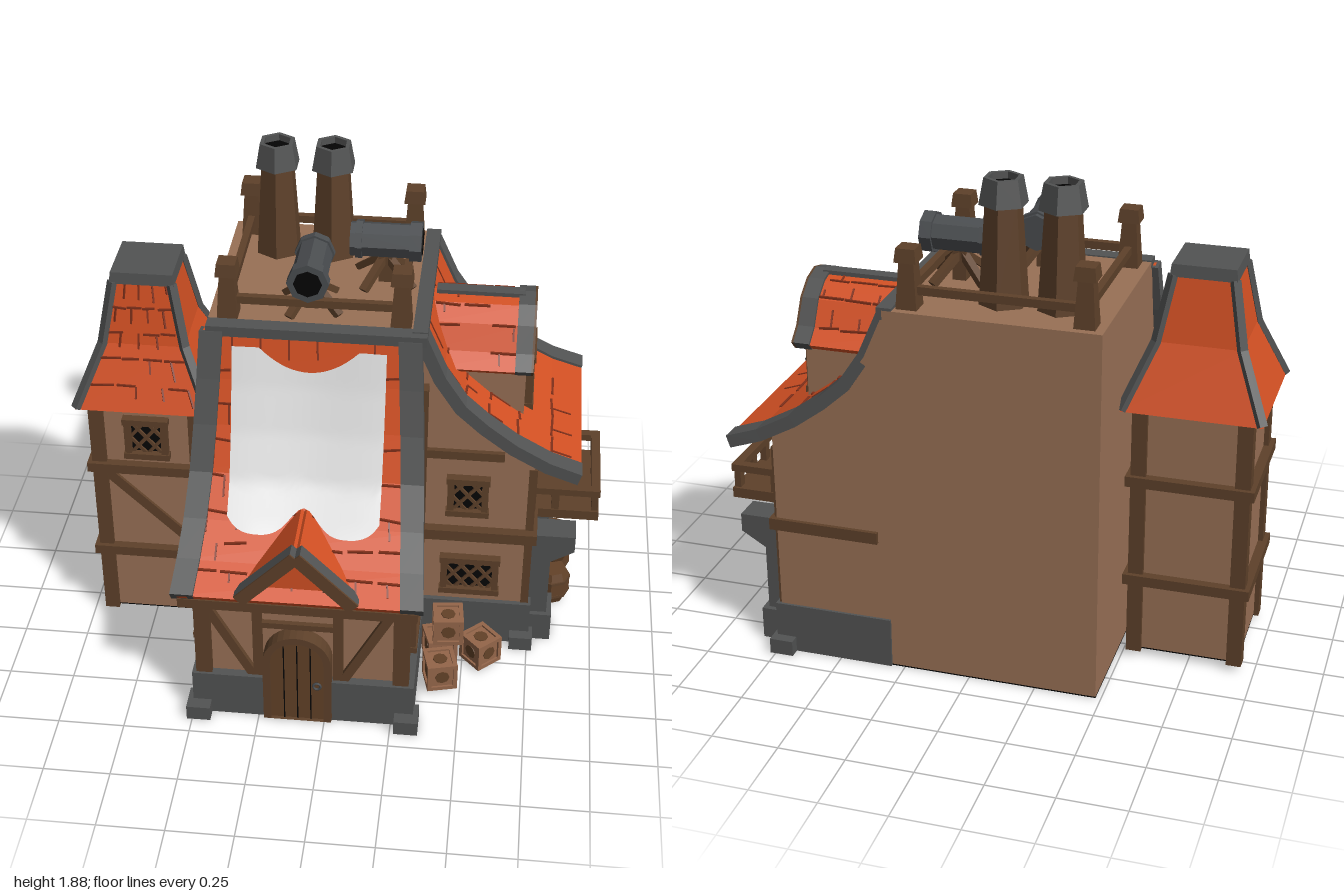
import * as THREE from 'three';
import { mergeGeometries } from 'three/addons/utils/BufferGeometryUtils.js';

const mat = (name, color, side = THREE.FrontSide) => Object.assign(new THREE.MeshStandardMaterial({ color, side }), { name });
const plaster = mat('plaster', 0x997156), wood = mat('timber', 0x5e412a), tile = mat('roof tile', 0xd35023);
const gap = mat('tile gap', 0x80301a), stone = mat('stone', 0x525353), dark = mat('dark opening', 0x040404);
const cloth = mat('cloth', 0xe6e6e6, THREE.DoubleSide), crateWood = mat('crate wood', 0x94664a);
const oak = mat('oak', 0x634228), iron = mat('iron', 0x4a4d50);

const V = (x, y, z) => new THREE.Vector3(x, y, z);
const X = V(1, 0, 0), Y = V(0, 1, 0), NZ = V(0, 0, -1);
let seed = 7;
const rnd = () => (seed = (seed * 16807) % 2147483647) / 2147483647;

function flat(geo) {
  const g = geo.index ? geo.toNonIndexed() : geo;
  g.computeVertexNormals();
  return g;
}
function add(parent, name, geo, material) {
  const m = new THREE.Mesh(geo, material);
  m.name = name;
  parent.add(m);
  return m;
}
function group(parent, name, x = 0, y = 0, z = 0, ry = 0) {
  const g = new THREE.Group();
  g.name = name; g.position.set(x, y, z); g.rotation.y = ry;
  parent.add(g);
  return g;
}
// Box given by its limits
const box = (p, name, m, x0, x1, y0, y1, z0, z1) =>
  add(p, name, new THREE.BoxGeometry(x1 - x0, y1 - y0, z1 - z0).translate((x0 + x1) / 2, (y0 + y1) / 2, (z0 + z1) / 2), m);
const cyl = (p, name, m, rt, rb, y0, y1, n, x = 0, z = 0, turn = 0) =>
  add(p, name, flat(new THREE.CylinderGeometry(rt, rb, y1 - y0, n).rotateY(turn).translate(x, (y0 + y1) / 2, z)), m);
const tangent = (pts, i) => pts[Math.min(i + 1, pts.length - 1)].clone().sub(pts[Math.max(i - 1, 0)]).normalize();

// Rectangular section carried along points; width may change from w0 to w1
function sweep(pts, side, w0, h, w1 = w0) {
  const pos = [], idx = [], last = pts.length - 1;
  pts.forEach((p, i) => {
    const n = tangent(pts, i).cross(side).normalize(), w = w0 + (w1 - w0) * i / last;
    for (const [a, b] of [[-1, -1], [1, -1], [1, 1], [-1, 1]])
      pos.push(...p.clone().addScaledVector(side, a * w / 2).addScaledVector(n, b * h / 2).toArray());
    if (i < last) for (let k = 0; k < 4; k++) {
      const a = i * 4 + k, b = i * 4 + (k + 1) % 4;
      idx.push(a, b, b + 4, a, b + 4, a + 4);
    }
  });
  const e = last * 4;
  idx.push(0, 2, 1, 0, 3, 2, e, e + 1, e + 2, e, e + 2, e + 3);
  const g = new THREE.BufferGeometry();
  g.setAttribute('position', new THREE.Float32BufferAttribute(pos, 3));
  g.setIndex(idx);
  return flat(g);
}
function bar(a, b, w, h) {
  const s = b.clone().sub(a).cross(Y);
  return sweep([a, b], s.length() < 1e-5 ? X : s.normalize(), w, h);
}
// Point on the outer face of a swept roof
const surface = (pts, side, w0, w1, off) => (u, v) => {
  const f = Math.min(v, 0.9999) * (pts.length - 1), i = Math.floor(f);
  const t = pts[i + 1].clone().sub(pts[i]).normalize();
  return pts[i].clone().lerp(pts[i + 1], f - i).addScaledVector(side, (u - 0.5) * (w0 + (w1 - w0) * v))
    .addScaledVector(t.cross(side), off);
};
// Uneven joints between the tiles
function tileGaps(p, s, rows, cols) {
  const parts = [];
  for (let r = 0; r < rows; r++) for (let c = 0; c < cols; c++) {
    const v = r / rows, u = c / cols, j = rnd() * 0.015;
    if (r && rnd() > 0.15) parts.push(bar(s(u, v + j), s(u + (0.7 + rnd() * 0.3) / cols, v + rnd() * 0.015), 0.009, 0.008));
    const q = u + (r % 2 ? 0.3 : 0.75) / cols;
    if (rnd() > 0.45) parts.push(bar(s(q, v + 0.01), s(q + 0.004, v + (0.4 + rnd() * 0.4) / rows), 0.007, 0.006));
  }
  add(p, 'tileGaps', mergeGeometries(parts), gap);
}
function extrude(points, depth) {
  const s = new THREE.Shape(points.map(([a, b]) => new THREE.Vector2(a, b)));
  return new THREE.ExtrudeGeometry(s, { depth, bevelEnabled: false });
}
// Side profile (z, y) extruded along x from x0 to x1
const extrudeX = (points, x0, x1) => extrude(points, x1 - x0).rotateY(-Math.PI / 2).translate(x1, 0, 0);

// Framed window with a diamond lattice
function latticeWindow(p, x, y, z, w, h, ry = 0) {
  const g = group(p, 'window', x, y, z, ry), t = 0.025, a = w / 2, b = h / 2, bars = [];
  box(g, 'pane', dark, -a, a, -b, b, 0, 0.008);
  for (const s of [-1, 1]) {
    box(g, 'frameSide', wood, s * a - t / 2, s * a + t / 2, -b, b, 0, 0.03);
    box(g, 'frameRail', wood, -a - t * 0.7, a + t * 0.7, s * b - t / 2, s * b + t / 2, 0, 0.035);
    for (let c = -0.225; c <= 0.23; c += 0.075) {
      const m = 1.2, xa = Math.max(-a, (-b - c) / m), xb = Math.min(a, (b - c) / m);
      if (xb - xa > 0.01) bars.push(bar(V(s * xa, m * xa + c, 0.012), V(s * xb, m * xb + c, 0.012), 0.01, 0.012));
    }
  }
  add(g, 'lattice', mergeGeometries(bars), wood);
}

export function createModel() {
  const root = new THREE.Group();
  root.name = 'house';
  box(root, 'core', plaster, -0.48, 0.3, 0.005, 1.42, -0.64, 0.1);
  box(root, 'coreUnderside', dark, -0.48, 0.3, 0, 0.005, -0.64, 0.1);

  // Front wing: walls, sweeping roof, stone verges
  const front = group(root, 'frontWing');
  const fp = [[0.13, 1.4], [0.17, 1.22], [0.22, 1.05], [0.29, 0.88], [0.4, 0.74], [0.52, 0.64], [0.64, 0.565]];
  add(front, 'walls', extrudeX([[0.05, 0.01], [0.6, 0.01], [0.6, 0.585], ...fp.slice(0, 6).reverse(), [0.05, 1.4]], -0.48, 0.3), plaster);
  const fpts = fp.map(([z, y]) => V(-0.1, y, z));
  add(front, 'roof', sweep(fpts, X, 0.78, 0.026, 0.88), tile);
  tileGaps(front, surface(fpts, X, 0.72, 0.82, 0.013), 8, 7);
  for (const s of [-1, 1])
    add(front, 'verge', sweep(fpts.map((p, i) => V(-0.1 + s * (0.36 + 0.06 * i / 6), p.y, p.z)), X, 0.085, 0.052), stone);
  box(front, 'ridge', stone, -0.48, 0.32, 1.385, 1.425, 0.09, 0.15);

  // Cloth laid over the front roof
  const zAt = y => {
    const i = Math.min(5, Math.max(0, fp.findIndex(q => q[1] <= y) - 1)), [a, b] = [fp[i], fp[i + 1]];
    return a[0] + (b[0] - a[0]) * (a[1] - y) / (a[1] - b[1]);
  };
  const sheet = new THREE.PlaneGeometry(1, 1, 28, 24), sp = sheet.attributes.position;
  for (let i = 0; i < sp.count; i++) {
    const u = sp.getX(i), v = sp.getY(i) + 0.5, e = Math.abs(2 * u);
    const lo = 0.73 + 0.08 * Math.exp(-((u / 0.12) ** 2)) + 0.05 * e ** 8, hi = 1.37 - 0.09 * Math.max(0, 1 - (e / 0.65) ** 2);
    const y = lo + (hi - lo) * v;
    sp.setXYZ(i, -0.1 + u * 0.56, y, zAt(y) + 0.045 - 0.006 * Math.cos(u * 6.28));
  }
  sheet.computeVertexNormals();
  add(front, 'cloth', sheet, cloth);

  // Small gable above the door
  const gable = group(front, 'doorGable', -0.1);
  add(gable, 'gableWall', extrude([[-0.19, 0.57], [0.19, 0.57], [0, 0.77]], 0.25).translate(0, 0, 0.35), tile);
  for (const s of [-1, 1]) {
    const slope = z => [V(0, 0.79, z), V(s * 0.21, 0.575, z)];
    add(gable, 'gableRoof', sweep(slope(0.46), NZ, 0.28, 0.03), tile);
    add(gable, 'gableVerge', sweep(slope(0.622), NZ, 0.055, 0.05), stone);
    add(gable, 'gableBoard', sweep(slope(0.653), NZ, 0.008, 0.05), wood);
  }

  // Front base and timber frame
  box(front, 'foundation', stone, -0.5, 0.335, 0, 0.19, 0.1, 0.635);
  for (const x of [-0.475, 0.31]) box(front, 'cornerStone', stone, x - 0.045, x + 0.045, 0, 0.06, 0.58, 0.685);
  box(front, 'eaveBeam', wood, -0.54, 0.34, 0.51, 0.55, 0.58, 0.635);
  for (const x of [-0.455, 0.285]) box(front, 'cornerPost', wood, x - 0.03, x + 0.03, 0.19, 0.52, 0.57, 0.625);
  for (const s of [-1, 1]) {
    box(front, 'doorPost', wood, -0.1 + s * 0.15 - 0.018, -0.1 + s * 0.15 + 0.018, 0.19, 0.51, 0.59, 0.62);
    add(front, 'brace', bar(V(-0.1 + s * 0.34, 0.51, 0.605), V(-0.1 + s * 0.17, 0.19, 0.605), 0.03, 0.035), wood);
    const sx = s > 0 ? 0.31 : -0.49;
    box(front, 'sideBeam', wood, sx - 0.02, sx + 0.02, 0.51, 0.555, 0.1, 0.62);
    box(front, 'sidePost', wood, sx - 0.02, sx + 0.02, 0.19, s > 0 ? 1.2 : 0.52, 0.1, 0.15);
    latticeWindow(front, s > 0 ? 0.3 : -0.48, 0.335, 0.385, 0.2, 0.15, s * Math.PI / 2);
  }
  box(front, 'lintel', wood, -0.25, 0.05, 0.425, 0.45, 0.59, 0.62);

  // Arched door
  const door = group(front, 'door', -0.1, 0.01, 0);
  const arch = (r, h) => {
    const s = new THREE.Shape();
    s.moveTo(-r, 0); s.lineTo(r, 0); s.lineTo(r, h);
    s.absarc(0, h, r, 0, Math.PI, false);
    return s;
  };
  const surround = arch(0.128, 0.28);
  surround.holes.push(arch(0.1, 0.28));
  const thick = (s, d, z) => new THREE.ExtrudeGeometry(s, { depth: d, bevelEnabled: false, curveSegments: 8 }).translate(0, 0, z);
  add(door, 'doorFrame', thick(surround, 0.08, 0.58), wood);
  add(door, 'doorLeaf', thick(arch(0.105, 0.28), 0.05, 0.595), oak);
  for (const x of [-0.05, 0, 0.05]) box(door, 'plankGap', dark, x - 0.002, x + 0.002, 0, 0.36, 0.644, 0.649);
  add(door, 'knob', new THREE.TorusGeometry(0.014, 0.005, 6, 10).translate(0.075, 0.175, 0.655), iron);

  // Right wing: walls, sweeping roof, stone verges
  const right = group(root, 'sideWing');
  const rp = [[0.3, 1.4], [0.37, 1.24], [0.45, 1.12], [0.54, 1.04], [0.65, 0.96], [0.78, 0.89], [0.9, 0.85]];
  add(right, 'walls', extrude([[0.25, 0.01], [0.735, 0.01], [0.735, 0.91], ...rp.slice(0, 5).reverse(), [0.25, 1.4]], 0.74).translate(0, 0, -0.64), plaster);
  const rpts = rp.map(([x, y]) => V(x, y, -0.25));
  add(right, 'roof', sweep(rpts, NZ, 0.74, 0.028, 0.8), tile);
  tileGaps(right, surface(rpts, NZ, 0.66, 0.7, 0.014), 6, 5);
  for (const s of [-1, 1])
    add(right, 'verge', sweep(rpts.map((p, i) => V(p.x, p.y, -0.25 + s * (0.345 + 0.025 * i / 6))), NZ, 0.08, 0.048), stone);
  box(right, 'ridge', stone, 0.265, 0.32, 1.385, 1.43, -0.64, 0.12);
  box(right, 'foundation', stone, 0.3, 0.755, 0, 0.195, -0.65, 0.12);
  for (const z of [0.115, -0.64]) box(right, 'cornerStone', stone, 0.68, 0.77, 0, 0.06, z - 0.05, z + 0.05);
  box(right, 'frontBeam', wood, 0.3, 0.76, 0.51, 0.555, 0.09, 0.14);
  box(right, 'upperBeam', wood, 0.3, 0.62, 0.88, 0.915, 0.09, 0.12);
  box(right, 'backBeam', wood, 0.34, 0.76, 0.51, 0.555, -0.655, -0.63);
  box(right, 'sideBeam', wood, 0.71, 0.76, 0.51, 0.555, -0.65, 0.14);
  for (const z of [0.085, -0.615]) box(right, 'cornerPost', wood, 0.715, 0.745, 0.19, 0.84, z - 0.02, z + 0.02);
  latticeWindow(right, 0.49, 0.71, 0.1, 0.13, 0.15);
  latticeWindow(right, 0.51, 0.33, 0.1, 0.2, 0.15);

  // Balcony and its stone piers
  const balcony = group(right, 'balcony');
  box(balcony, 'doorway', dark, 0.732, 0.74, 0.555, 0.79, -0.43, -0.07);
  box(balcony, 'doorLintel', wood, 0.72, 0.755, 0.785, 0.82, -0.47, -0.03);
  for (const z of [-0.05, -0.45]) box(balcony, 'doorJamb', wood, 0.72, 0.75, 0.55, 0.8, z - 0.02, z + 0.02);
  box(balcony, 'floor', wood, 0.74, 0.995, 0.51, 0.55, -0.455, -0.045);
  box(balcony, 'frontRail', wood, 0.96, 0.995, 0.62, 0.648, -0.455, -0.045);
  for (let i = 0; i < 4; i++) box(balcony, 'baluster', wood, 0.965, 0.99, 0.55, 0.62, -0.445 + i * 0.1183, -0.41 + i * 0.1183);
  for (const z of [-0.0625, -0.4375]) {
    box(balcony, 'sideRail', wood, 0.73, 0.96, 0.62, 0.648, z - 0.0175, z + 0.0175);
    box(balcony, 'baluster', wood, 0.81, 0.84, 0.55, 0.62, z - 0.013, z + 0.013);
  }
  for (const z of [0.02, -0.52]) {
    box(balcony, 'pier', stone, 0.72, 0.82, 0, 0.42, z - 0.05, z + 0.05);
    box(balcony, 'pierFoot', stone, 0.72, 0.84, 0, 0.125, z - 0.07, z + 0.07);
    add(balcony, 'pierBracket', extrude([[0.72, 0.36], [0.82, 0.385], [0.91, 0.44], [0.91, 0.51], [0.72, 0.51]], 0.11).translate(0, 0, z - 0.055), stone);
  }

  // Dormer with a bell-shaped roof
  const dormer = group(right, 'dormer');
  const dp = [[-0.225, 1.18], [-0.17, 1.23], [-0.12, 1.32], [-0.06, 1.365], [0, 1.38], [0.06, 1.365], [0.12, 1.32], [0.17, 1.23], [0.225, 1.18]];
  const bell = x => dp.map(([z, y]) => V(x, y, z - 0.255));
  add(dormer, 'dormerWalls', extrudeX([[-0.42, 0.88], [-0.09, 0.88], [-0.09, 1.22], [-0.135, 1.31], [-0.255, 1.37], [-0.375, 1.31], [-0.42, 1.22]], 0.3, 0.68), plaster);
  add(dormer, 'dormerRoof', sweep(bell(0.49), X, 0.34, 0.025), tile);
  tileGaps(dormer, surface(bell(0.49), X, 0.32, 0.32, 0.0125), 8, 3);
  add(dormer, 'dormerVerge', sweep(bell(0.667), X, 0.06, 0.045), stone);
  add(dormer, 'dormerBoard', sweep(bell(0.701), X, 0.008, 0.045), wood);
  box(dormer, 'dormerRidge', stone, 0.33, 0.66, 1.375, 1.402, -0.28, -0.23);
  latticeWindow(dormer, 0.68, 1.06, -0.255, 0.18, 0.21, Math.PI / 2);

  // Left turret
  const turret = group(root, 'turret', -0.735, 0, -0.11);
  box(turret, 'turretWalls', plaster, -0.2, 0.2, 0.035, 1.05, -0.2, 0.2);
  box(turret, 'turretUnderside', dark, -0.2, 0.2, 0.03, 0.035, -0.2, 0.2);
  for (const x of [-0.19, 0.19]) for (const z of [-0.19, 0.19])
    box(turret, 'turretPost', wood, x - 0.028, x + 0.028, 0.025, 1.04, z - 0.028, z + 0.028);
  for (const y of [0.335, 0.737]) for (const s of [-1, 1]) {
    box(turret, 'turretBeam', wood, -0.235, 0.235, y - 0.02, y + 0.02, s * 0.215 - 0.02, s * 0.215 + 0.02);
    box(turret, 'turretBeam', wood, s * 0.215 - 0.02, s * 0.215 + 0.02, y - 0.02, y + 0.02, -0.235, 0.235);
  }
  add(turret, 'turretBrace', bar(V(-0.17, 0.71, 0.2), V(0.17, 0.37, 0.2), 0.025, 0.04), wood);
  latticeWindow(turret, 0, 0.88, 0.2, 0.14, 0.155);
  const q = Math.SQRT2;
  cyl(turret, 'lowerRoof', tile, 0.155 * q, 0.255 * q, 1.02, 1.26, 4, 0, 0, Math.PI / 4);
  cyl(turret, 'upperRoof', tile, 0.11 * q, 0.155 * q, 1.26, 1.5, 4, 0, 0, Math.PI / 4);
  cyl(turret, 'turretCap', stone, 0.115 * q, 0.12 * q, 1.495, 1.54, 4, 0, 0, Math.PI / 4);
  for (const a of [-1, 1]) for (const b of [-1, 1])
    add(turret, 'hip', sweep([[0.252, 1.025], [0.154, 1.26], [0.11, 1.5]].map(([r, y]) => V(a * r, y, b * r)), V(b, 0, -a).normalize(), 0.032, 0.022), stone);
  tileGaps(turret, (u, v) => {
    const r = v < 0.5 ? 0.11 + 0.09 * v : 0.155 + 0.2 * (v - 0.5);
    return V((u - 0.5) * 1.8 * r, 1.5 - 0.48 * v, r);
  }, 5, 4);

  // Roof deck: railing and chimneys
  const deck = group(root, 'roofDeck');
  for (const x of [-0.41, 0.22]) {
    for (const z of [0.045, -0.575]) {
      cyl(deck, 'railPost', wood, 0.026 * q, 0.038 * q, 1.42, 1.6, 4, x, z, Math.PI / 4);
      cyl(deck, 'railPostCap', wood, 0.034 * q, 0.04 * q, 1.59, 1.64, 4, x, z, Math.PI / 4);
    }
    box(deck, 'rail', wood, x - 0.013, x + 0.013, 1.47, 1.5, -0.575, 0.045);
  }
  for (const z of [0.045, -0.575]) box(deck, 'rail', wood, -0.41, 0.22, 1.47, 1.5, z - 0.013, z + 0.013);
  for (const x of [-0.29, -0.08]) {
    cyl(deck, 'chimney', wood, 0.066, 0.09, 1.42, 1.79, 6, x, -0.445);
    const cap = [[0.054, 1.8], [0.088, 1.78], [0.07, 1.875], [0.054, 1.875], [0.054, 1.8]].map(([r, y]) => new THREE.Vector2(r, y));
    add(deck, 'chimneyCap', flat(new THREE.LatheGeometry(cap, 6).translate(x, 0, -0.445)), stone);
    cyl(deck, 'chimneyFlue', dark, 0.055, 0.055, 1.79, 1.85, 6, x, -0.445);
  }

  // Two cannons on splayed stands
  for (const [x, z, ry] of [[-0.115, -0.045, 0], [0.135, -0.26, Math.PI / 2]]) {
    const g = group(deck, 'cannon', x, 1.585, z, ry);
    const tube = (name, m, r, z0, z1) => add(g, name, flat(new THREE.CylinderGeometry(r, r, z1 - z0, 8).rotateX(Math.PI / 2).translate(0, 0, (z0 + z1) / 2)), m);
    tube('barrel', iron, 0.066, -0.13, 0.13);
    tube('breechBand', iron, 0.074, -0.11, -0.085);
    tube('muzzleBand', iron, 0.077, 0.09, 0.134);
    tube('bore', dark, 0.052, 0.13, 0.137);
    box(g, 'standPost', wood, -0.025, 0.025, -0.165, -0.04, -0.025, 0.025);
    for (let i = 0; i < 4; i++) {
      const a = i * Math.PI / 2 + 0.6;
      add(g, 'standLeg', bar(V(0, -0.06, 0), V(0.13 * Math.cos(a), -0.16, 0.13 * Math.sin(a)), 0.03, 0.025), wood);
    }
  }

  // Barrels under the balcony
  for (const [y, z] of [[0.015, -0.17], [0.015, -0.35], [0.16, -0.255]]) {
    const g = group(root, 'storageBarrel', 0.84, y, z);
    const pts = [[0, 0], [0.055, 0], [0.072, 0.045], [0.072, 0.1], [0.055, 0.145], [0, 0.145]].map(([r, h]) => new THREE.Vector2(r, h));
    add(g, 'staves', flat(new THREE.LatheGeometry(pts, 8)), oak);
    for (const h of [0.035, 0.1]) cyl(g, 'hoop', wood, 0.074, 0.074, h, h + 0.012, 8);
  }

  // Crates by the front corner
  for (const [x, y, z, ry] of [[0.41, 0.015, 0.24, 0.3], [0.57, 0.015, 0.24, 0.75], [0.42, 0.015, 0.385, 0.25], [0.44, 0.14, 0.265, 0.1]]) {
    const g = group(root, 'crate', x, y + 0.057, z, ry);
    box(g, 'crateBody', crateWood, -0.05, 0.05, -0.05, 0.05, -0.05, 0.05);
    for (const [rx, rz] of [[0, 0], [Math.PI / 2, 0], [0, Math.PI / 2]]) {
      for (const a of [-0.05, 0.05]) for (const b of [-0.05, 0.05])
        add(g, 'crateEdge', new THREE.BoxGeometry(0.016, 0.115, 0.016).translate(a, 0, b).rotateX(rx).rotateZ(rz), crateWood);
      add(g, 'crateRoundel', new THREE.CylinderGeometry(0.028, 0.028, 0.106, 8).rotateX(rx).rotateZ(rz), oak);
    }
  }
  return root;
}
